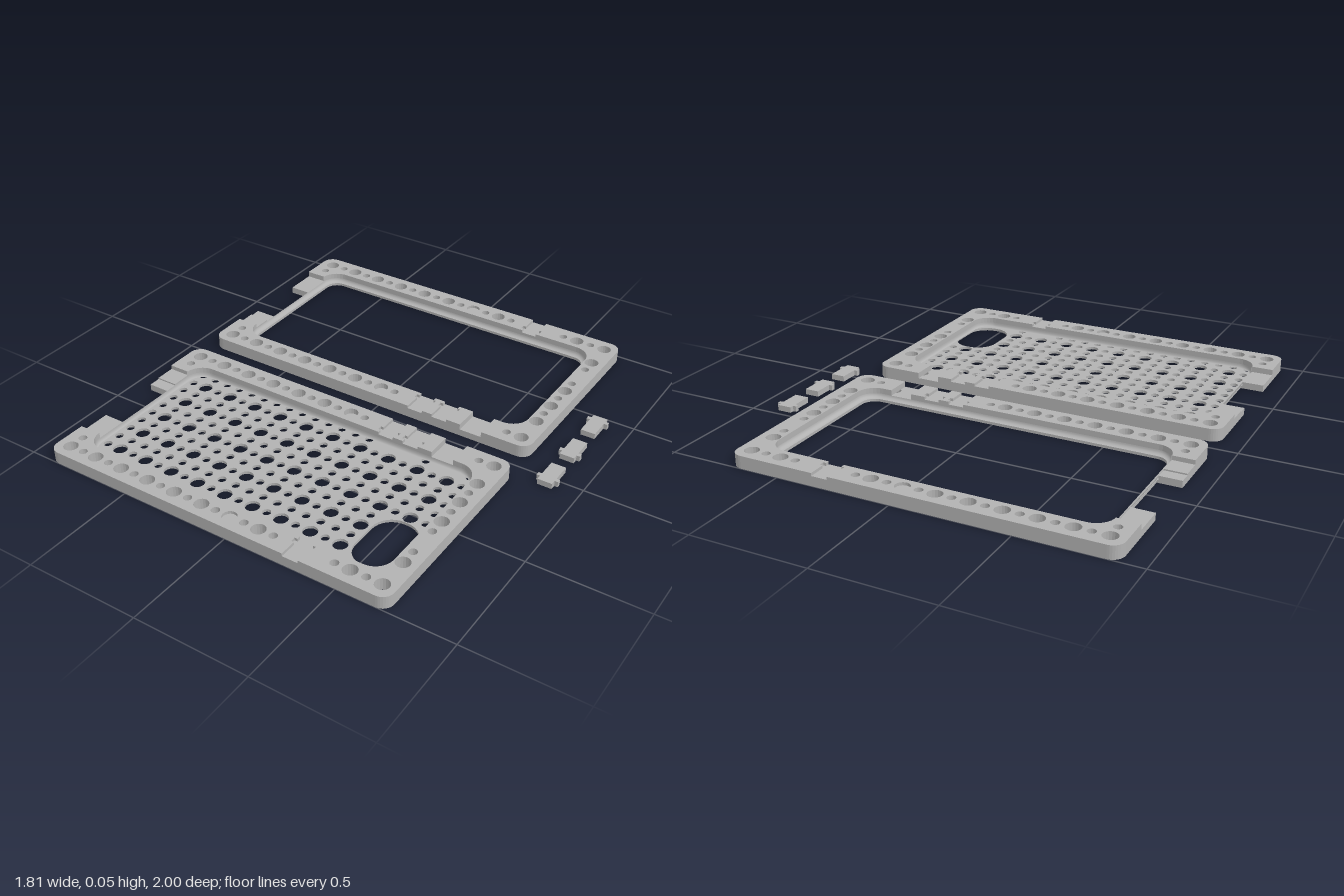
import * as THREE from 'three';

// Shell outline, cavity outline and level heights (one shell; the other is its mirror in z)
const X0 = -0.905, X1 = 0.72, Z0 = 0.058, Z1 = 1, R = 0.05;
const x0 = -0.81, x1 = 0.626, z0 = 0.172, z1 = 0.886, r = 0.08;
const FLOOR = 0.012, SLOT = 0.03, SOCKET = 0.0425, TOP = 0.055;
const NOTCH = [0.388, 0.67], TAB = [0.247, 0.811];
const CAMERA = [0.43, 0.625, 0.562, 0.852];

// Quarter arc as points, from angle a (in quarter turns) to a + dir
function arc(cx, cz, rad, a, dir = 1, n = 8) {
  return Array.from({ length: n + 1 }, (_, i) => {
    const t = (a + dir * i / n) * Math.PI / 2;
    return [cx + rad * Math.cos(t), cz + rad * Math.sin(t)];
  });
}

function roundRect(a, b, c, d, rad) {
  return [...arc(a + rad, c + rad, rad, 2), ...arc(b - rad, c + rad, rad, 3),
    ...arc(b - rad, d - rad, rad, 0), ...arc(a + rad, d - rad, rad, 1)];
}

const flipZ = pts => pts.map(([x, z]) => [x, Z0 + Z1 - z]);

function inside(x, z, pts) {
  let hit = false;
  pts.forEach(([ax, az], i) => {
    const [bx, bz] = pts[(i + 1) % pts.length];
    if ((az > z) !== (bz > z) && x < ax + (z - az) * (bx - ax) / (bz - az)) hit = !hit;
  });
  return hit;
}

// Perforation grid: big holes on even rows and columns, small ones between
function holeGrid() {
  const list = [];
  for (let c = 0; c <= 22; c++) for (let k = 0; k <= 12; k++) {
    const rad = c % 2 || k % 2 ? 0.018 : 0.031;
    const x = -0.842 + c * 0.0683, z = 0.937 - k * 0.0683;
    const skip = (c === 0 && k > 1 && k < 11) || (c === 22 && [1, 4, 11].includes(k))
      || (k === 12 && c > 13 && c < 20) || (k === 0 && c > 15 && c < 19)
      || (k === 11 && c > 14 && c < 21 && c !== 18) || (k === 1 && (c === 16 || c === 17));
    const onCamera = x + rad > CAMERA[0] && x - rad < CAMERA[1]
      && z + rad > CAMERA[2] && z - rad < CAMERA[3];
    if (!skip && !onCamera) list.push({ x, z, rad, rim: c === 0 || c === 22 || k === 0 || k === 12 });
  }
  return list;
}

// Flat slab between two heights, pierced by every hole that fits in its outline
function slab(pts, low, high, holes, side, openings = []) {
  const place = p => p.map(([x, z]) => new THREE.Vector2(x, z * side));
  const shape = new THREE.Shape(place(pts));
  for (const h of holes) {
    const fits = Array.from({ length: 16 }, (_, i) => i * Math.PI / 8).every(
      t => inside(h.x + h.rad * Math.cos(t), h.z + h.rad * Math.sin(t), pts));
    if (fits) shape.holes.push(new THREE.Path().absarc(h.x, h.z * side, h.rad, 0, Math.PI * 2, false));
  }
  for (const o of openings) {
    const v = place(o);
    if (THREE.ShapeUtils.isClockWise(v)) v.reverse();
    shape.holes.push(new THREE.Path(v));
  }
  const geo = new THREE.ExtrudeGeometry(shape, { depth: high - low, bevelEnabled: false, curveSegments: 9 });
  return geo.rotateX(Math.PI / 2).translate(0, high, 0);
}

// Edge of a cut across the near rim, outer to inner; s points into the solid piece
function cutEdge(x, s, ear) {
  const a = Z0 + 0.075, b = Z0 + 0.097, e = x + s * 0.0125;
  return ear ? [[x, Z0], [x, a], [e, a], [e, b], [x, b], [x, z0]] : [[x, Z0], [x, z0]];
}

// Corner piece at the near left, from the side port to a cut
const leftCorner = (cut, zEnd) => [...cut, ...arc(x0 + r, z0 + r, r, 3, -1),
  [x0, zEnd], [X0, zEnd], ...arc(X0 + R, Z0 + R, R, 2)];

// Right end piece, between a near cut and a far cut
const rightEnd = (near, far) => [...near.slice().reverse(),
  ...arc(X1 - R, Z0 + R, R, 3), ...arc(X1 - R, Z1 - R, R, 0), ...flipZ(far),
  ...arc(x1 - r, z1 - r, r, 1, -1), ...arc(x1 - r, z0 + r, r, 0, -1)];

const between = (a, b) => [...a, ...b.slice().reverse()];

// Concave fillet between the cavity wall and the floor
function filletRing(width, height, side) {
  const pos = [], idx = [], steps = 5;
  let n = 0;
  for (let i = 0; i <= steps; i++) {
    const t = i / steps * Math.PI / 2, d = width * (1 - Math.cos(t));
    const y = FLOOR + height * (1 - Math.sin(t));
    const ring = roundRect(x0 + d, x1 - d, z0 + d, z1 - d, r - d);
    n = ring.length;
    ring.forEach(([x, z]) => pos.push(x, y, z * side));
  }
  for (let i = 0; i < steps; i++) for (let j = 0; j < n; j++) {
    const a = i * n + j, b = i * n + (j + 1) % n;
    if (side > 0) idx.push(a, b, a + n, b, b + n, a + n);
    else idx.push(a, a + n, b, b, a + n, b + n);
  }
  const geo = new THREE.BufferGeometry();
  geo.setAttribute('position', new THREE.Float32BufferAttribute(pos, 3));
  geo.setIndex(idx);
  geo.computeVertexNormals();
  return geo;
}

export function createModel() {
  const model = new THREE.Group();
  model.name = 'perforatedCase';
  const grey = new THREE.MeshStandardMaterial({ color: 0xb2b2b2, side: THREE.DoubleSide });
  grey.name = 'grey plastic';
  const holes = holeGrid();
  const rimHoles = holes.filter(h => h.rim);

  function add(parent, name, geo) {
    const mesh = new THREE.Mesh(geo, grey);
    mesh.name = name;
    parent.add(mesh);
    return mesh;
  }

  // Full base outline with the port notch in the left side
  const base = [...arc(X0 + R, Z0 + R, R, 2), ...arc(X1 - R, Z0 + R, R, 3),
    ...arc(X1 - R, Z1 - R, R, 0), ...arc(X0 + R, Z1 - R, R, 1),
    [X0, NOTCH[1]], [-0.803, NOTCH[1]], [-0.803, NOTCH[0]], [X0, NOTCH[0]]];

  // Rim layers: continuous, then cut by the button slot, then by the clip sockets
  const mid = [0, 0];
  const joint = cutEdge(mid[0], 0, false), edge = (x, s) => cutEdge(x, s, true);
  const slotL = cutEdge(0.405, -1, false), slotR = cutEdge(0.505, 1, false);
  const layers = [
    [FLOOR, SLOT, [leftCorner(joint, NOTCH[0]), flipZ(leftCorner(joint, Z0 + Z1 - NOTCH[1])),
      rightEnd(joint, joint)]],
    [SLOT, SOCKET, [leftCorner(slotL, TAB[0]), flipZ(leftCorner(joint, Z0 + Z1 - TAB[1])),
      rightEnd(slotR, joint)]],
    [SOCKET, TOP, [leftCorner(edge(0.15, -1), TAB[0]), between(edge(0.22, 1), edge(0.268, -1)),
      between(edge(0.338, 1), slotL), rightEnd(slotR, edge(0.338, 1)),
      flipZ(leftCorner(edge(0.268, -1), Z0 + Z1 - TAB[1]))]],
  ];

  function shell(name, side, floorHoles, opening, filletWidth) {
    const group = new THREE.Group();
    group.name = name;
    add(group, 'basePlate', slab(base, 0, FLOOR, floorHoles, side, [opening]));
    layers.forEach(([low, high, pieces]) => pieces.forEach(
      p => add(group, 'rim', slab(p, low, high, rimHoles, side))));
    add(group, 'cavityFillet', filletRing(filletWidth, 0.018, side));
    // Small raised step on the near port tab
    add(group, 'portTabStep', slab([[X0, TAB[0]], [x0, TAB[0]], [x0, 0.335], [X0, 0.335]],
      SLOT, SLOT + 0.006, [], side));
    model.add(group);
  }

  shell('backShell', 1, holes, roundRect(...CAMERA, 0.09), 0.01);
  shell('frontFrame', -1, rimHoles,
    roundRect(x0 + 0.02, x1 - 0.02, z0 + 0.02, z1 - 0.02, r - 0.02), 0.02);

  // Three loose joining clips with side ears
  [[-0.405, -0.44], [-0.204, -0.173], [-0.003, 0.028]].forEach(([z, earZ]) => {
    const clip = new THREE.Group();
    clip.name = 'joiningClip';
    add(clip, 'clipBody', new THREE.BoxGeometry(0.064, 0.025, 0.127)).position.set(0.858, 0.0125, z);
    for (const s of [-1, 1]) {
      add(clip, 'clipEar', new THREE.BoxGeometry(0.015, 0.025, 0.018))
        .position.set(0.858 + s * 0.0395, 0.0125, earZ);
    }
    model.add(clip);
  });
  return model;
}
